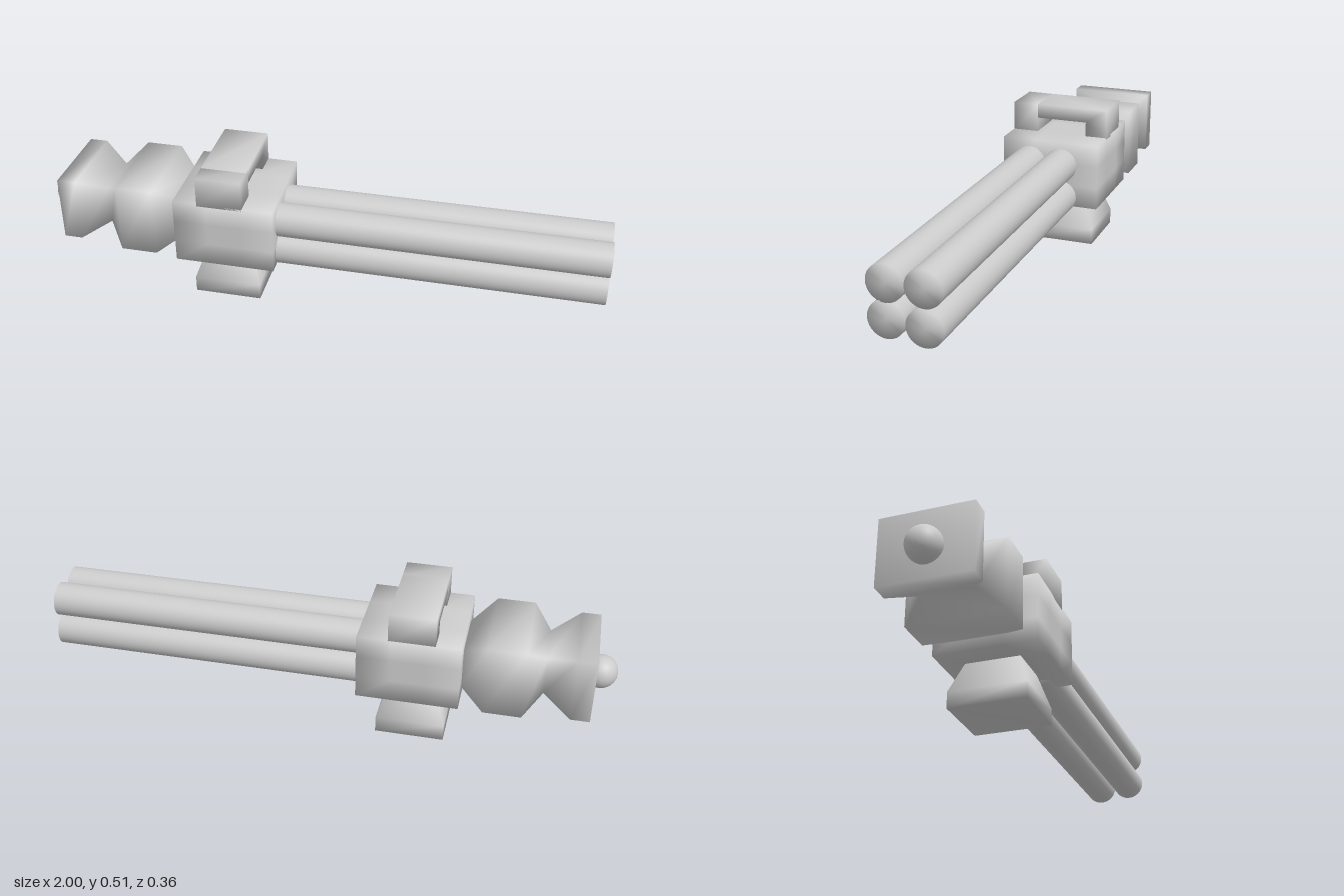
import * as THREE from 'three';
import { mergeVertices } from 'three/addons/utils/BufferGeometryUtils.js';

const material = new THREE.MeshStandardMaterial({ color: 0xcccccc });

// Weld all corners so that shading runs smoothly over every edge.
function smooth(geometry) {
  geometry.deleteAttribute('normal');
  geometry.deleteAttribute('uv');
  const welded = mergeVertices(geometry, 1e-4);
  welded.computeVertexNormals();
  return welded;
}

// Box [x0, x1, y0, y1, z0, z1] with n divisions per side.
function box([x0, x1, y0, y1, z0, z1], n = 1) {
  const g = new THREE.BoxGeometry(x1 - x0, y1 - y0, z1 - z0, n, n, n);
  g.translate((x0 + x1) / 2, (y0 + y1) / 2, (z0 + z1) / 2);
  return smooth(g);
}

// Rectangular sections along 'x' or 'y': [position, a0, a1, b0, b1],
// where a, b are y, z for axis x and x, z for axis y.
function loft(axis, sections) {
  const n = sections.length - 1;
  const alongX = axis === 'x';
  const g = new THREE.BoxGeometry(1, 1, 1, alongX ? n : 1, alongX ? 1 : n, 1);
  const p = g.attributes.position;
  for (let i = 0; i < p.count; i++) {
    const t = alongX ? p.getX(i) : p.getY(i);
    const [s, a0, a1, b0, b1] = sections[Math.round((t + 0.5) * n)];
    const a = (alongX ? p.getY(i) : p.getX(i)) > 0 ? a1 : a0;
    const b = p.getZ(i) > 0 ? b1 : b0;
    p.setXYZ(i, alongX ? s : a, alongX ? a : s, b);
  }
  return smooth(g);
}

export function createModel() {
  const model = new THREE.Group();
  const add = (name, geometry) => {
    const mesh = new THREE.Mesh(geometry, material);
    mesh.name = name;
    model.add(mesh);
    return mesh;
  };

  add('body', box([-0.487, -0.133, 0.168, 0.407, -0.179, 0.18], 3));

  // Flared foot under the body
  add('foot', loft('y', [
    [0, -0.44, -0.2, -0.143, 0.128],
    [0.058, -0.44, -0.2, -0.143, 0.128],
    [0.17, -0.4, -0.24, -0.1, 0.09],
  ]));

  // Carrying handle: short front post, and a bar joined to the back post
  add('handlePost', box([-0.4, -0.24, 0.4, 0.51, 0.087, 0.18]));
  const bar = new THREE.Shape([
    [0.179, 0.4], [0.179, 0.51], [-0.108, 0.51], [-0.108, 0.459], [0.1, 0.459], [0.1, 0.4],
  ].map(([u, v]) => new THREE.Vector2(u, v)));
  const barGeometry = new THREE.ExtrudeGeometry(bar, { depth: 0.16, bevelEnabled: false });
  barGeometry.rotateY(Math.PI / 2).translate(-0.4, 0, 0);
  add('handleBar', smooth(barGeometry));

  // Pinched rear chambers
  add('rearChambers', loft('x', [
    [-0.925, 0.178, 0.411, -0.166, 0.143],
    [-0.86, 0.178, 0.411, -0.166, 0.143],
    [-0.763, 0.225, 0.364, -0.1, 0.08],
    [-0.7, 0.166, 0.419, -0.176, 0.159],
    [-0.57, 0.166, 0.419, -0.176, 0.159],
    [-0.483, 0.21, 0.357, -0.1, 0.08],
  ]));

  const knob = add('rearKnob', new THREE.SphereGeometry(0.058, 32, 20));
  knob.position.set(-0.942, 0.28, -0.006);

  // Four barrels in a square bundle
  const barrel = smooth(new THREE.CylinderGeometry(0.06, 0.06, 1.2, 40).rotateZ(-Math.PI / 2));
  for (const [y, z] of [[0.322, 0.079], [0.323, -0.041], [0.21, 0.079], [0.202, -0.041]]) {
    add('barrel', barrel).position.set(0.4, y, z);
  }
  return model;
}
